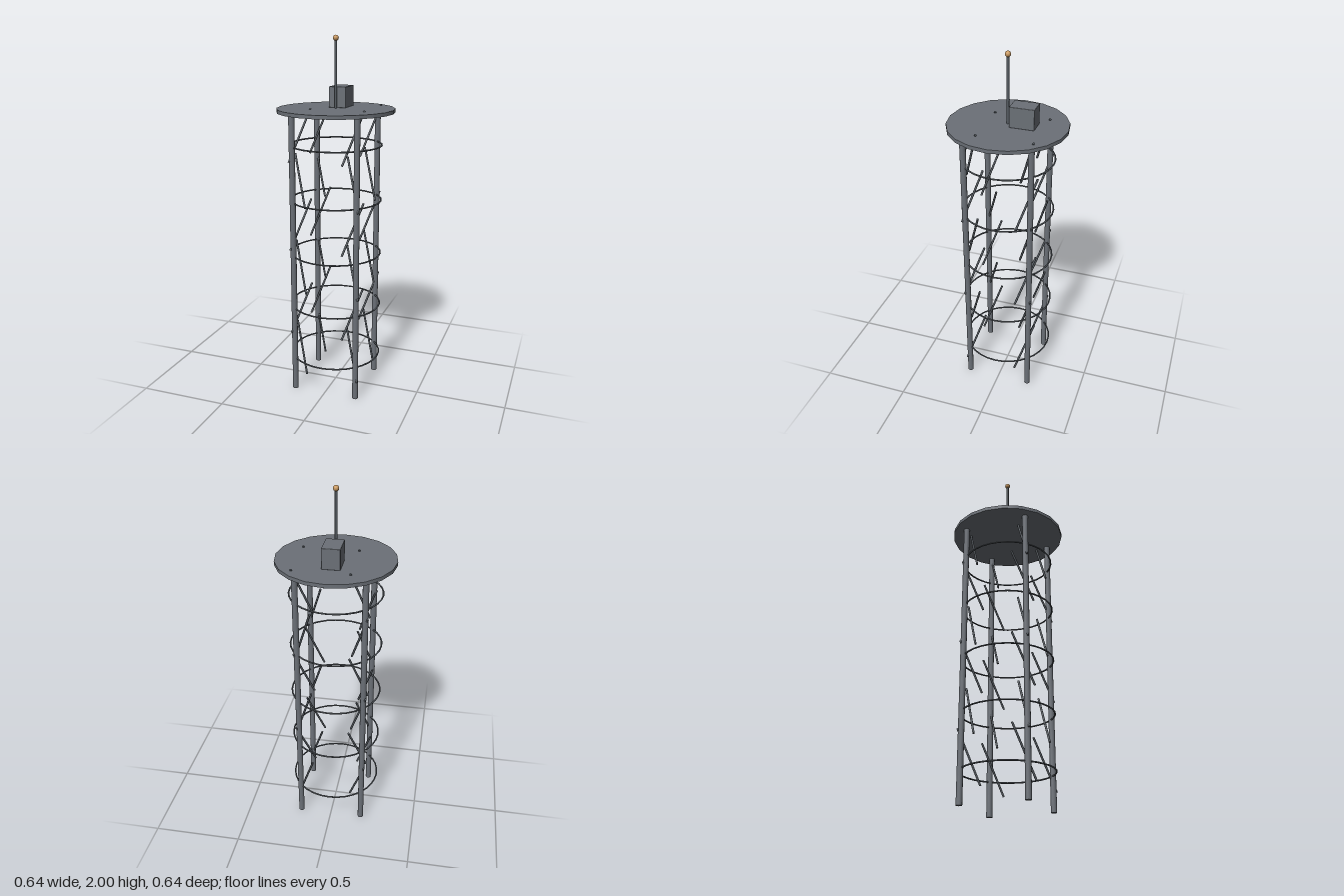
import * as THREE from 'three';
import { RoundedBoxGeometry } from 'three/addons/geometries/RoundedBoxGeometry.js';

const mat = (name, color) => {
  const m = new THREE.MeshStandardMaterial({ color });
  m.name = name;
  return m;
};

export function createModel() {
  const steel = mat('steel grey', 0x6b7077);
  const darkSteel = mat('dark steel', 0x545a60);
  const copper = mat('copper', 0xc8985f);

  const model = new THREE.Group();
  model.name = 'latticeTower';
  const add = (name, geometry, material, x = 0, y = 0, z = 0) => {
    const mesh = new THREE.Mesh(geometry, material);
    mesh.name = name;
    mesh.position.set(x, y, z);
    model.add(mesh);
    return mesh;
  };

  // four legs, and tilted braces beside each one
  const legGeo = new THREE.CylinderGeometry(0.0165, 0.0165, 1.6, 12);
  const up = new THREE.Vector3(0, 1, 0);
  const braceVector = new THREE.Vector3(0.092, 0.283, -0.092);
  const braceGeo = new THREE.CylinderGeometry(0.006, 0.006, braceVector.length(), 8);
  for (const sx of [-1, 1]) {
    for (const sz of [-1, 1]) {
      add('leg', legGeo, steel, sx * 0.183, 0.8, sz * 0.183);
      for (let i = 0; i < 6; i++) {
        // the sideways tilt alternates from level to level
        const direction = braceVector.clone();
        if (i % 2 === 0) direction.x *= -1;
        const brace = add('brace', braceGeo, darkSteel, sx * 0.151, 0.247 * (i + 1), sz * 0.151);
        brace.quaternion.setFromUnitVectors(up, direction.normalize());
      }
    }
  }

  // horizontal hoops
  const hoopGeo = new THREE.TorusGeometry(0.253, 0.0045, 8, 32).rotateX(Math.PI / 2);
  for (let i = 0; i < 5; i++) add('hoop', hoopGeo, darkSteel, 0, 0.188 + i * 0.308, 0);

  // twenty-sided deck with an equipment box behind the mast
  add('deck', new THREE.CylinderGeometry(0.322, 0.322, 0.02, 20), steel, 0, 1.607, 0);
  add('equipmentBox', new RoundedBoxGeometry(0.098, 0.113, 0.135, 1, 0.003), steel, 0, 1.673, -0.088);

  // mast with a ball on top
  add('mast', new THREE.CylinderGeometry(0.007, 0.007, 0.375, 10), darkSteel, 0, 1.795, 0);
  add('mastBall', new THREE.SphereGeometry(0.0155, 16, 12), copper, 0, 1.9845, 0);

  return model;
}
